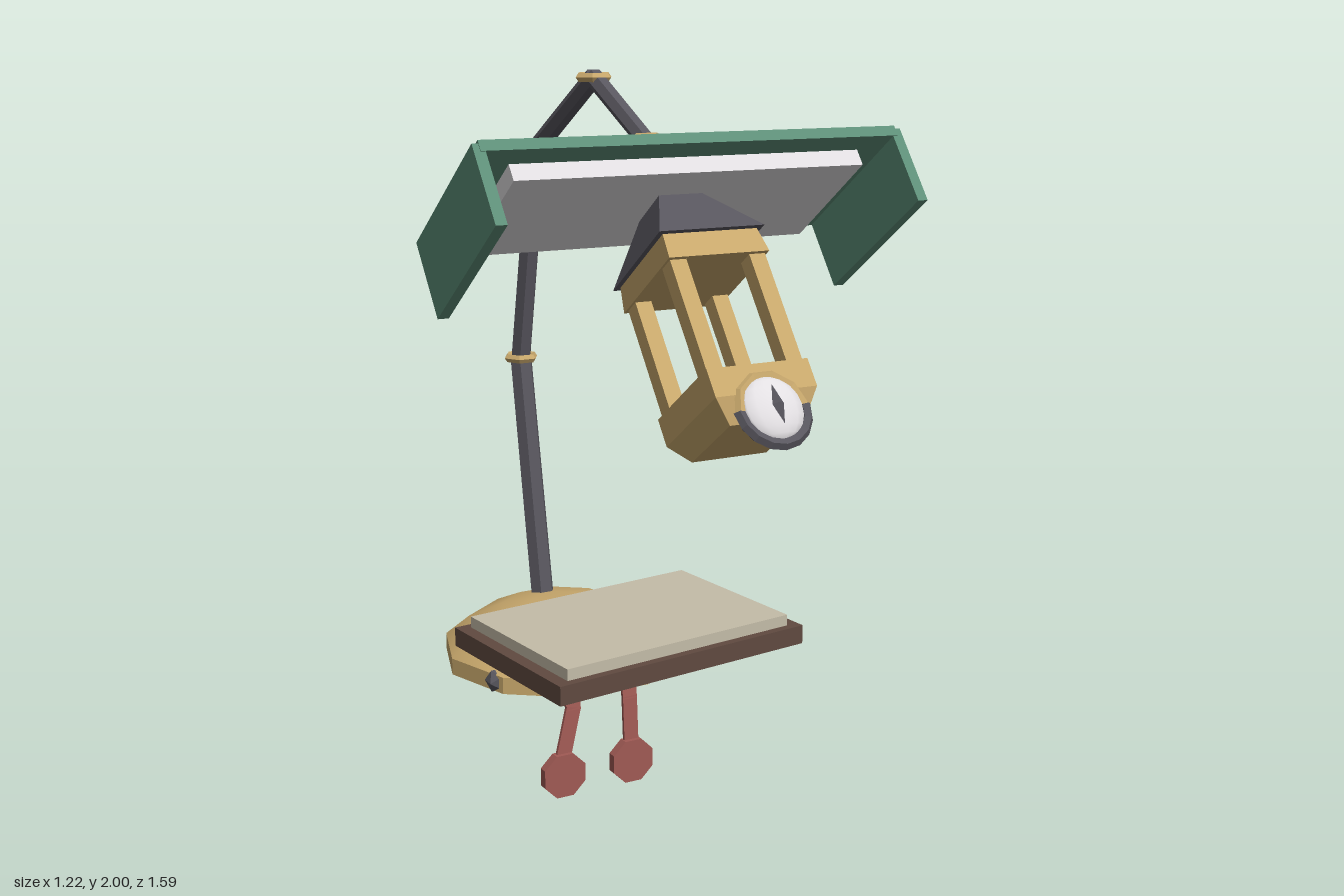
import * as THREE from 'three';

const mat = (name, color) => {
  const m = new THREE.MeshStandardMaterial({ color });
  m.name = name;
  return m;
};

export function createModel() {
  const brass = mat('brass', 0xc8a86c);
  const green = mat('green', 0x5e9079);
  const iron = mat('iron', 0x58565e);
  const wood = mat('wood', 0x604a40);
  const paper = mat('paper', 0xc4bca8);
  const red = mat('red', 0xa05a54);
  const white = mat('white', 0xe2dfe2);

  const model = new THREE.Group();
  model.name = 'deskLamp';

  const add = (parent, name, geo, material, x = 0, y = 0, z = 0) => {
    const mesh = new THREE.Mesh(geo, material);
    mesh.name = name;
    mesh.position.set(x, y, z);
    parent.add(mesh);
    return mesh;
  };
  // Faceted normals
  const flat = (geo) => {
    const g = geo.index ? geo.toNonIndexed() : geo;
    g.computeVertexNormals();
    return g;
  };
  const box = (w, h, d) => new THREE.BoxGeometry(w, h, d);
  // Square frustum given by half widths at top and bottom
  const frustum = (top, bottom, h) =>
    flat(new THREE.CylinderGeometry(top * Math.SQRT2, bottom * Math.SQRT2, h, 4).rotateY(Math.PI / 4));
  // Stretch a part along the line from a to b
  const between = (mesh, a, b) => {
    mesh.position.copy(a).add(b).multiplyScalar(0.5);
    mesh.quaternion.setFromUnitVectors(new THREE.Vector3(0, 1, 0), b.clone().sub(a).normalize());
    return mesh;
  };

  // Domed ten-sided base
  const base = new THREE.Group();
  base.name = 'base';
  base.position.z = -0.427;
  model.add(base);
  const dome = [[0.363, 0.285], [0.29, 0.345], [0.185, 0.392], [0.09, 0.408], [0, 0.412]];
  add(base, 'baseDome', new THREE.LatheGeometry(
    dome.map(([r, y]) => new THREE.Vector2(r, y)), 10, Math.PI / 2), brass);
  add(base, 'baseRim', flat(new THREE.CylinderGeometry(0.363, 0.363, 0.05, 10).rotateY(Math.PI / 2)), brass, 0, 0.26, 0);
  for (let i = 0; i < 3; i++) {
    const a = Math.PI + (i * Math.PI * 2) / 3;
    add(base, 'foot', flat(new THREE.IcosahedronGeometry(0.038, 0)), iron,
      0.335 * Math.sin(a), 0.262, 0.335 * Math.cos(a));
  }

  // Jointed arm with a brass collar at each bend
  const joints = [[0.39, -0.56], [1.12, -0.695], [1.765, -0.565], [1.98, -0.195], [1.815, 0.12]]
    .map(([y, z]) => new THREE.Vector3(0, y, z));
  const radii = [0.037, 0.032, 0.028, 0.026];
  radii.forEach((r, i) => {
    const a = joints[i], b = joints[i + 1];
    const geo = flat(new THREE.CylinderGeometry(r * 0.95, r, a.distanceTo(b), 6).rotateY(Math.PI / 2));
    between(add(model, 'armSegment', geo, iron), a, b);
    if (i > 0) {
      add(model, 'armCollar', flat(new THREE.TorusGeometry(0.042, 0.013, 5, 6).rotateX(Math.PI / 2)),
        brass, 0, a.y, a.z);
    }
  });

  // Tilted lamp head; its origin is the middle of the shade top
  const head = new THREE.Group();
  head.name = 'lampHead';
  head.position.set(0, 1.727, 0.188);
  head.rotation.x = -0.635;
  model.add(head);

  add(head, 'hangingRing', flat(new THREE.TorusGeometry(0.08, 0.013, 5, 10)), brass, 0, 0.06, 0);
  add(head, 'shadeTop', box(1.185, 0.03, 0.456), green, 0, -0.015, 0);
  for (const s of [-1, 1]) {
    add(head, 'shadeCheek', box(0.03, 0.218, 0.452), green, s * 0.594, -0.117, 0);
  }
  add(head, 'lightPanel', box(1.0, 0.046, 0.355), white, 0, -0.053, -0.012);

  // Lantern cap, band, posts and cup
  add(head, 'lanternCap', frustum(0.06, 0.15, 0.155), iron, 0, -0.148, 0);
  add(head, 'lanternBand', frustum(0.135, 0.143, 0.07), brass, 0, -0.26, 0);
  for (const sx of [-1, 1]) {
    for (const sz of [-1, 1]) {
      add(head, 'lanternPost', box(0.046, 0.32, 0.046), brass, sx * 0.113, -0.445, sz * 0.108);
    }
  }
  add(head, 'lanternCup', box(0.286, 0.075, 0.286), brass, 0, -0.6325, 0);
  add(head, 'lanternCupBase', frustum(0.143, 0.108, 0.062), brass, 0, -0.701, 0);

  // Round lens on the front of the cup
  const lens = new THREE.Group();
  lens.name = 'lens';
  lens.position.set(0, -0.715, 0.14);
  head.add(lens);
  const glass = new THREE.SphereGeometry(0.085, 14, 10);
  glass.scale(1, 1, 0.35);
  add(lens, 'lensGlass', glass, white);
  add(lens, 'lensUpperRim', flat(new THREE.TorusGeometry(0.09, 0.014, 5, 5, Math.PI)), brass);
  add(lens, 'lensLowerRim', flat(new THREE.TorusGeometry(0.093, 0.015, 5, 8, Math.PI).rotateZ(Math.PI)), iron);
  const slit = new THREE.OctahedronGeometry(1, 0);
  slit.scale(0.016, 0.052, 0.012);
  add(lens, 'lensSlit', flat(slit), iron, 0, 0, 0.03);

  // Turned board with a sheet block on top
  const board = new THREE.Group();
  board.name = 'board';
  board.rotation.y = 0.117;
  board.position.z = 0.01;
  model.add(board);
  add(board, 'boardFrame', box(0.818, 0.054, 0.548), wood, 0, 0.436, 0);
  add(board, 'boardSheet', box(0.742, 0.032, 0.5), paper, 0, 0.479, 0);

  // Two hanging ribbons ending in octagonal weights
  const ribbons = [
    [[0, 0.412, -0.015], [0, 0.25, 0.01], [0, 0.11, 0.02]],
    [[-0.178, 0.412, -0.015], [-0.18, 0.25, 0.01], [-0.218, 0.11, 0.02]],
  ];
  for (const path of ribbons) {
    const pts = path.map((p) => new THREE.Vector3(...p));
    for (let i = 0; i < pts.length - 1; i++) {
      between(add(model, 'ribbon', box(0.045, pts[i].distanceTo(pts[i + 1]) + 0.008, 0.01), red), pts[i + 1], pts[i]);
    }
    const weight = new THREE.CylinderGeometry(0.068, 0.068, 0.028, 8)
      .rotateY(Math.PI / 8).rotateX(Math.PI / 2);
    add(model, 'ribbonWeight', flat(weight), red, pts[2].x, 0.063, 0.022);
  }

  return model;
}
